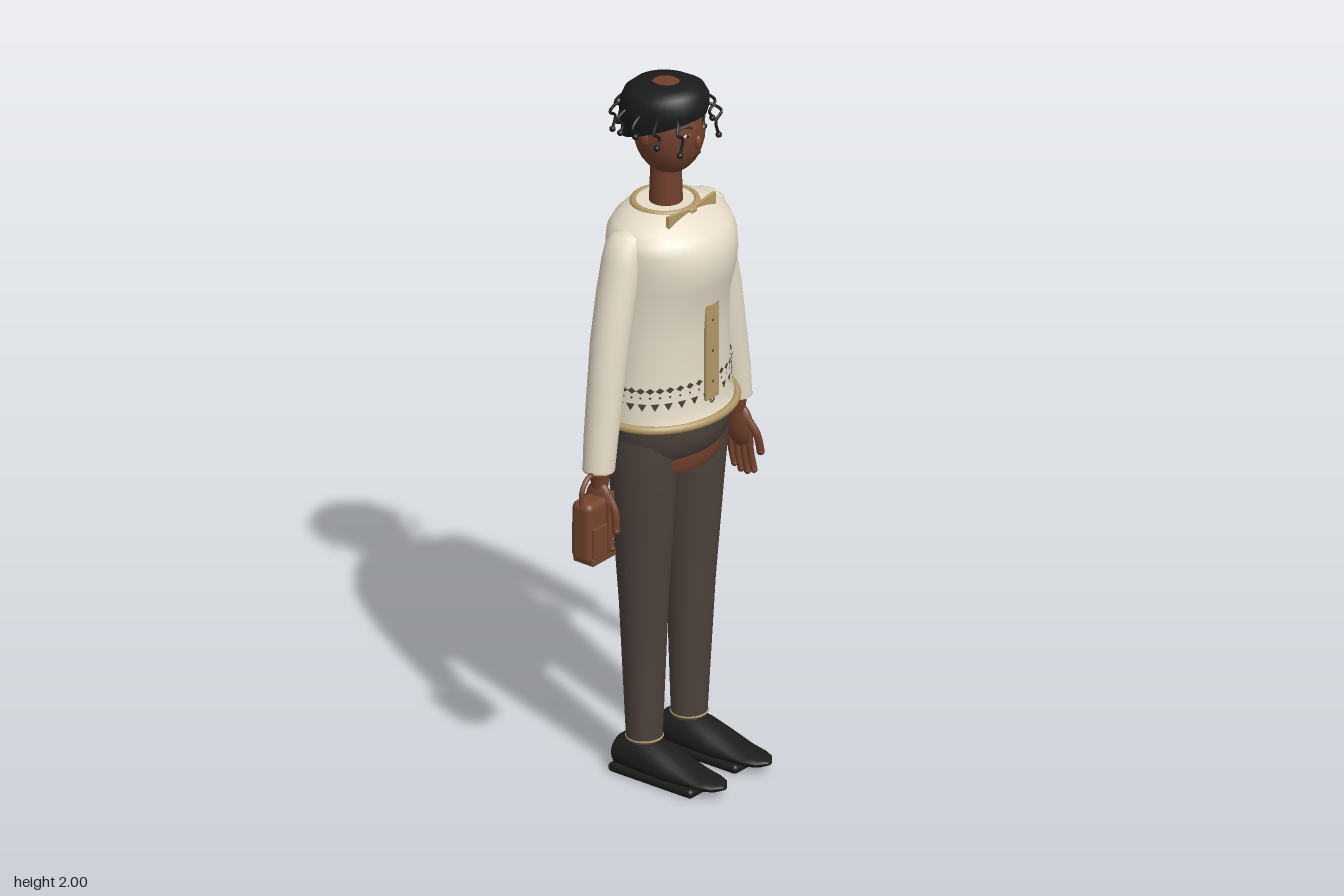
import * as THREE from 'three';
import { RoundedBoxGeometry } from 'three/addons/geometries/RoundedBoxGeometry.js';

const CX = 0.02, CZ = -0.045; // body axis

const mat = (name, color, side = THREE.FrontSide) => {
  const m = new THREE.MeshStandardMaterial({ color, side });
  m.name = name;
  return m;
};

// Skin over rings [y, cx, cz, rx, front rz, back rz, tilt], listed bottom to top; ends capped
function loft(rings, seg = 32, capTop = true) {
  const pos = [], idx = [], n = rings.length;
  for (const [y, cx, cz, rx, rf, rb = rf, tilt = 0] of rings) {
    for (let j = 0; j < seg; j++) {
      const a = (j / seg) * Math.PI * 2, c = Math.cos(a);
      const dz = c * (c > 0 ? rf : rb);
      pos.push(cx + rx * Math.sin(a), y + tilt * dz, cz + dz);
    }
  }
  for (let i = 0; i < n - 1; i++) {
    for (let j = 0; j < seg; j++) {
      const k = (j + 1) % seg, a = i * seg + j, b = i * seg + k;
      idx.push(a, b, b + seg, a, b + seg, a + seg);
    }
  }
  const cap = (r, top) => {
    const [y, cx, cz] = rings[r], base = pos.length / 3;
    for (let j = 0; j < seg; j++) pos.push(...pos.slice((r * seg + j) * 3, (r * seg + j) * 3 + 3));
    pos.push(cx, y, cz);
    for (let j = 0; j < seg; j++) {
      const a = base + j, b = base + (j + 1) % seg;
      top ? idx.push(a, b, base + seg) : idx.push(b, a, base + seg);
    }
  };
  cap(0, false);
  if (capTop) cap(n - 1, true);
  const g = new THREE.BufferGeometry();
  g.setAttribute('position', new THREE.Float32BufferAttribute(pos, 3));
  g.setIndex(idx);
  g.computeVertexNormals();
  return g;
}

export function createModel() {
  const root = new THREE.Group();
  root.name = 'standingFigure';
  const cream = mat('cream knit', 0xe6dcc8), gold = mat('gold trim', 0xb39a66, THREE.DoubleSide);
  const brown = mat('dark brown cloth', 0x4d423c, THREE.DoubleSide), black = mat('black', 0x1c1c1c);
  const skin = mat('skin', 0x70402c), leather = mat('bag leather', 0x74452f);
  const lipMat = mat('lip', 0x4e261d), white = mat('eye white', 0xd8d0c4);

  const add = (name, geo, m, x = 0, y = 0, z = 0, parent = root) => {
    const mesh = new THREE.Mesh(geo, m);
    mesh.name = name;
    mesh.position.set(x, y, z);
    parent.add(mesh);
    return mesh;
  };
  const ball = (name, m, x, y, z, rx, ry = rx, rz = rx) =>
    add(name, new THREE.SphereGeometry(1, 20, 14), m, x, y, z).scale.set(rx, ry, rz);
  const tube = (name, pts, r, m) => add(name, new THREE.TubeGeometry(
    new THREE.CatmullRomCurve3(pts.map(p => new THREE.Vector3(...p))), 16, r, 7), m);
  const ring = (name, m, y, z, rx, rz, t) => {
    const g = new THREE.TorusGeometry(1, t / rx, 8, 40).rotateX(Math.PI / 2);
    add(name, g, m, CX, y, z).scale.set(rx, rx, rz);
  };

  // Sweater body
  add('sweater', loft([
    [1.055, CX, CZ, 0.205, 0.165, 0.165], [1.09, CX, CZ, 0.2, 0.147, 0.14],
    [1.2, CX, CZ, 0.193, 0.145, 0.135], [1.3, CX, CZ, 0.188, 0.146, 0.138],
    [1.38, CX, CZ, 0.187, 0.152, 0.14], [1.45, CX, CZ, 0.189, 0.175, 0.141],
    [1.51, CX, CZ, 0.192, 0.185, 0.142], [1.56, CX, CZ, 0.193, 0.178, 0.142],
    [1.59, CX, CZ, 0.188, 0.157, 0.14], [1.615, CX, CZ, 0.165, 0.125, 0.128],
    [1.635, CX, CZ, 0.125, 0.095, 0.11], [1.648, CX, CZ, 0.085, 0.075, 0.09],
  ], 48), cream);
  ring('hemTrim', gold, 1.06, CZ, 0.206, 0.17, 0.012);
  ring('collarTrim', gold, 1.642, -0.053, 0.086, 0.084, 0.01);
  add('frontPlacket', new THREE.BoxGeometry(0.054, 0.28, 0.009), gold, CX, 1.25, 0.104);
  add('placketRing', new THREE.TorusGeometry(0.007, 0.002, 6, 14), brown, CX, 1.105, 0.106);
  for (const y of [1.16, 1.25, 1.34]) ball('placketButton', brown, CX, y, 0.109, 0.004, 0.004, 0.002);

  // Knitted pattern rows: [height, count, corners, width, height of motif]
  for (const [y, count, corners, w, h] of [[1.17, 40, 4, 0.012, 0.009], [1.15, 40, 4, 0.004, 0.004], [1.125, 30, 3, 0.014, 0.014]]) {
    const geo = new THREE.CircleGeometry(1, corners, -Math.PI / 2).scale(w, h, 1);
    const row = new THREE.Group();
    row.name = 'patternRow';
    for (let i = 0; i < count; i++) {
      const a = ((i + 0.5) / count) * Math.PI * 2, c = Math.cos(a), s = Math.sin(a);
      const rx = 0.201, rz = c > 0 ? 0.149 : 0.142;
      const m = add('patternMotif', geo, brown, CX + rx * s, y, CZ + rz * c, row);
      m.rotation.y = Math.atan2(s / rx, c / rz);
    }
    root.add(row);
  }

  // Bow at the throat
  for (const s of [-1, 1]) {
    const wing = new THREE.Shape([[0, -0.008], [s * 0.1, -0.022], [s * 0.1, 0.02], [0, 0.009]].map(p => new THREE.Vector2(...p)));
    const g = new THREE.ExtrudeGeometry(wing, { depth: 0.01, bevelEnabled: false });
    add('bowWing', g, gold, CX, 1.637, 0.03);
  }
  add('bowKnot', new RoundedBoxGeometry(0.026, 0.026, 0.02, 2, 0.006), gold, CX, 1.637, 0.037);

  // Trouser seat and the strip of skin below it
  add('trouserSeat', loft([
    [0.87, CX, CZ, 0.065, 0.06], [0.9, CX, CZ, 0.08, 0.09], [0.94, CX, CZ, 0.165, 0.12, 0.125],
    [0.97, CX, CZ, 0.18, 0.142, 0.138], [1.01, CX, CZ, 0.189, 0.154, 0.145], [1.065, CX, CZ, 0.195, 0.154, 0.145],
  ]), brown);
  add('hipSkin', loft([
    [0.905, CX, CZ, 0.155, 0.122, 0.125], [0.925, CX, CZ, 0.165, 0.13, 0.134], [0.952, CX, CZ, 0.165, 0.13, 0.134],
  ]), skin);

  for (const s of [-1, 1]) {
    const at = d => CX + s * d;
    const side = s > 0 ? 'left' : 'right';

    // Leg, ankle trim and shoe
    add(side + 'TrouserLeg', loft([
      [0.1, at(0.095), -0.047, 0.05, 0.048], [0.5, at(0.1), -0.045, 0.066, 0.066],
      [0.8, at(0.104), -0.044, 0.081, 0.088], [0.94, at(0.106), -0.044, 0.088, 0.1], [1.02, at(0.1), -0.044, 0.086, 0.1],
    ], 24), brown);
    add(side + 'AnkleTrim', new THREE.TorusGeometry(0.049, 0.003, 6, 24).rotateX(Math.PI / 2), gold, at(0.095), 0.108, -0.047);
    const shoe = loft([
      [-0.124, 0, -0.05, 0.045, 0.045, 0.04], [-0.11, 0, -0.05, 0.058, 0.048, 0.05], [-0.05, 0, -0.05, 0.062, 0.045, 0.062],
      [0.0, 0, -0.045, 0.062, 0.04, 0.058], [0.06, 0, -0.04, 0.062, 0.035, 0.042], [0.13, 0, -0.036, 0.053, 0.026, 0.02],
      [0.175, 0, -0.034, 0.048, 0.02, 0.014], [0.205, 0, -0.034, 0.035, 0.015, 0.01], [0.226, 0, -0.034, 0.008, 0.006, 0.005],
    ], 24).rotateX(Math.PI / 2);
    add(side + 'Shoe', shoe, black, at(0.095));
    add(side + 'Sole', new RoundedBoxGeometry(0.128, 0.026, 0.284, 3, 0.012), black, at(0.095), 0.013, 0.018);

    // Sleeve
    add(side + 'Sleeve', loft([
      [0.965, at(0.291), -0.045, 0.042, 0.044], [1.05, at(0.281), -0.046, 0.045, 0.047], [1.2, at(0.256), -0.049, 0.051, 0.05],
      [1.32, at(0.236), -0.051, 0.054, 0.053], [1.45, at(0.206), -0.053, 0.054, 0.055], [1.54, at(0.182), -0.053, 0.053, 0.056],
      [1.585, at(0.171), -0.053, 0.049, 0.052], [1.605, at(0.162), -0.053, 0.034, 0.04], [1.615, at(0.155), -0.053, 0.014, 0.016],
    ], 24), cream);
    add(side + 'CuffTrim', new THREE.TorusGeometry(0.041, 0.003, 6, 24).rotateX(Math.PI / 2), gold, at(0.291), 0.967, -0.045);

    // Hand
    add(side + 'Wrist', new THREE.CylinderGeometry(0.03, 0.022, 0.07, 16), skin, at(0.29), 0.945, -0.042);
    ball(side + 'Palm', skin, at(0.297), 0.875, -0.038, 0.021, 0.062, 0.043);
    for (let i = 0; i < 4; i++) {
      const z = -0.071 + i * 0.022, tip = 0.752 - (i === 1 || i === 2 ? 0.01 : 0);
      tube(side + 'Finger', [[at(0.297), 0.86, z], [at(0.3), 0.8, z + 0.002], [at(0.302), tip, z + 0.012]], 0.0095, skin);
      ball(side + 'Fingertip', skin, at(0.302), tip, z + 0.012, 0.0095);
    }
    tube(side + 'Thumb', [[at(0.295), 0.9, -0.01], [at(0.3), 0.86, 0.017], [at(0.306), 0.81, 0.026]], 0.011, skin);
    ball(side + 'ThumbTip', skin, at(0.306), 0.81, 0.026, 0.011);
  }

  // Handbag in the right hand
  add('bagBody', new RoundedBoxGeometry(0.108, 0.175, 0.066, 3, 0.018), leather, -0.309, 0.812, -0.036);
  add('bagBase', new RoundedBoxGeometry(0.1, 0.025, 0.07, 2, 0.006), leather, -0.3, 0.73, -0.036);
  add('bagSidePanel', new RoundedBoxGeometry(0.02, 0.14, 0.045, 2, 0.006), leather, -0.25, 0.83, -0.036);
  for (const z of [-0.071, -0.001]) {
    add('bagPocket', new RoundedBoxGeometry(0.08, 0.09, 0.008, 2, 0.003), leather, -0.309, 0.785, z);
    add('bagStrap', new THREE.BoxGeometry(0.018, 0.15, 0.014), leather, -0.285, 0.815, z);
  }
  tube('bagHandle', [[-0.355, 0.89, -0.036], [-0.352, 0.935, -0.036], [-0.32, 0.966, -0.036],
    [-0.285, 0.945, -0.036], [-0.272, 0.89, -0.036]], 0.007, leather);

  // Neck and head
  add('neck', new THREE.CylinderGeometry(0.041, 0.046, 0.15, 24), skin, CX, 1.7, -0.05);
  const HY = 1.865, HZ = -0.04;
  ball('head', skin, CX, HY, HZ, 0.093, 0.13, 0.1);
  const faceZ = (x, y) => HZ + 0.1 * Math.sqrt(1 - (x / 0.093) ** 2 - ((y - HY) / 0.13) ** 2);
  for (const s of [-1, 1]) {
    const x = s * 0.038, z = faceZ(x, 1.878);
    ball('eyeWhite', white, CX + x, 1.878, z, 0.013, 0.005, 0.004);
    ball('iris', black, CX + x, 1.878, z + 0.002, 0.006, 0.006, 0.004);
    tube('eyebrow', [[CX + s * 0.02, 1.896, faceZ(0.02, 1.896)], [CX + s * 0.04, 1.902, faceZ(0.04, 1.902)],
      [CX + s * 0.058, 1.894, faceZ(0.058, 1.894)]], 0.0028, black);
    ball('ear', skin, CX + s * 0.091, 1.86, -0.05, 0.01, 0.024, 0.015);
  }
  ball('nose', skin, CX, 1.848, faceZ(0, 1.848), 0.011, 0.02, 0.009);
  ball('mouth', lipMat, CX, 1.808, faceZ(0, 1.808), 0.023, 0.005, 0.004);

  // Hair cap, open at the crown
  add('hairCap', loft([
    [1.868, CX, -0.055, 0.1, 0.118, 0.118, 0.42], [1.91, CX, -0.055, 0.112, 0.124, 0.122, 0.25],
    [1.95, CX, -0.055, 0.113, 0.123, 0.122, 0.12], [1.975, CX, -0.055, 0.102, 0.11, 0.11, 0.1],
    [1.992, CX, -0.053, 0.074, 0.08, 0.085, 0.06], [2.0, CX, -0.05, 0.037, 0.04, 0.04], [1.985, CX, -0.05, 0.035, 0.038, 0.038],
  ], 40, false), black);
  add('crownSkin', new THREE.CylinderGeometry(0.037, 0.037, 0.01, 24), skin, CX, 1.988, -0.05);

  // Beaded curls around the cap: [sideways, depth, bead height]
  for (const [d, z, y] of [[0.028, -0.19, 1.845], [0.082, -0.165, 1.85], [0.112, -0.115, 1.865],
    [0.13, -0.05, 1.88], [0.118, 0.013, 1.86], [0.082, 0.063, 1.84]]) {
    for (const s of [-1, 1]) {
      const x = CX + s * d, w = s * 0.012, rz = z + 0.055;
      tube('curl', [[CX + s * d * 0.75, 1.935, -0.055 + rz * 0.75], [x - w * 0.3, 1.925, z - rz * 0.08],
        [x + w, 1.905, z], [x - w, 1.885, z], [x, y, z]], 0.0042, black);
      ball('curlBead', black, x, y, z, 0.0085);
    }
  }
  return root;
}
